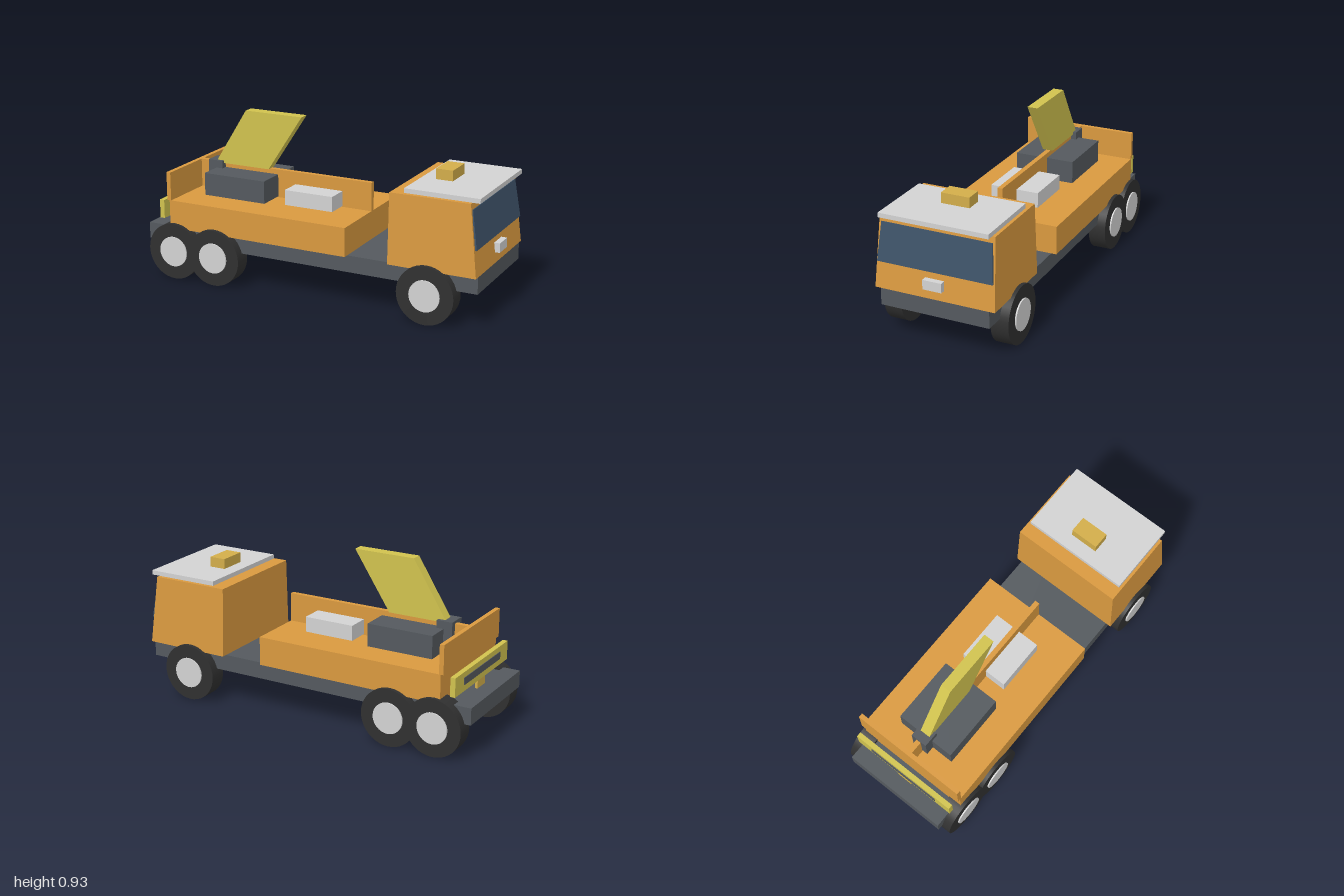
import * as THREE from 'three';

const mat = (name, color) => {
  const m = new THREE.MeshStandardMaterial({ color });
  m.name = name;
  return m;
};

export function createModel() {
  const orange = mat('orange paint', 0xd9993f);
  const grey = mat('dark grey', 0x54595e);
  const rubber = mat('black rubber', 0x303030);
  const silver = mat('light grey', 0xd2d2d2);
  const glass = mat('blue glass', 0x3d5268);
  const yellow = mat('yellow', 0xd0c24e);
  const amber = mat('amber', 0xd2ad4a);

  const group = new THREE.Group();
  group.name = 'flatbedTruck';
  const add = (name, geometry, material) => {
    const mesh = new THREE.Mesh(geometry, material);
    mesh.name = name;
    group.add(mesh);
    return mesh;
  };

  // Box given by its extents along x, y and z
  const box = (name, material, x0, x1, y0, y1, z0, z1) => {
    const g = new THREE.BoxGeometry(x1 - x0, y1 - y0, z1 - z0);
    g.translate((x0 + x1) / 2, (y0 + y1) / 2, (z0 + z1) / 2);
    return add(name, g, material);
  };

  // Box whose corners are moved: bottom and top each have [xBack, xFront, halfWidth]
  const taperedBox = (name, material, y0, y1, bottom, top) => {
    const g = new THREE.BoxGeometry(1, 1, 1);
    const p = g.attributes.position;
    for (let i = 0; i < p.count; i++) {
      const up = p.getY(i) > 0;
      const [xb, xf, w] = up ? top : bottom;
      p.setXYZ(i, p.getX(i) > 0 ? xf : xb, up ? y1 : y0, p.getZ(i) > 0 ? w : -w);
    }
    g.computeVertexNormals();
    return add(name, g, material);
  };

  // Chassis
  box('chassis', grey, -1, 0.98, 0.197, 0.29, -0.305, 0.305);

  // Cab, windscreen and fittings
  taperedBox('cab', orange, 0.29, 0.675, [0.49, 0.98, 0.336], [0.49, 0.935, 0.32]);
  taperedBox('windscreen', glass, 0.435, 0.642, [0.966, 0.975, 0.323], [0.937, 0.943, 0.308]);
  box('frontPlate', silver, 0.96, 1, 0.345, 0.397, -0.053, 0.053);
  box('roofPlate', silver, 0.565, 0.98, 0.678, 0.703, -0.305, 0.305);
  box('roofBeacon', amber, 0.645, 0.74, 0.703, 0.76, -0.08, 0.08);

  // Load bed with central wall and tall rear panel
  box('bed', orange, -0.84, 0.245, 0.29, 0.45, -0.335, 0.335);
  box('centreWall', orange, -0.83, 0.245, 0.45, 0.61, -0.018, 0.01);
  box('rearPanel', orange, -0.855, -0.83, 0.45, 0.61, -0.335, 0.335);

  // Boxes standing on both sides of the wall
  box('darkCrate', grey, -0.71, -0.33, 0.455, 0.582, -0.175, 0.17);
  box('lightCrate', silver, -0.22, 0.07, 0.455, 0.54, -0.145, 0.135);
  box('armMount', grey, -0.76, -0.67, 0.47, 0.625, -0.05, 0.045);

  // Slanted board rising from the wall
  taperedBox('slantedBoard', yellow, 0.61, 0.93, [-0.72, -0.38, 0.03], [-0.52, -0.17, 0.03]);

  // Rear barrier with its post and dark strip
  box('rearBarrier', yellow, -0.915, -0.887, 0.335, 0.44, -0.32, 0.32);
  box('barrierStrip', grey, -0.919, -0.914, 0.37, 0.41, -0.22, 0.22);
  box('barrierPost', amber, -0.913, -0.898, 0.29, 0.335, -0.045, 0.045);

  // Wheels: three on each side
  for (const side of [1, -1]) {
    for (const x of [-0.81, -0.555, 0.71]) {
      const tyre = new THREE.CylinderGeometry(0.16, 0.16, 0.1, 40);
      const hub = new THREE.CylinderGeometry(0.086, 0.086, 0.1, 32);
      tyre.rotateX(Math.PI / 2);
      hub.rotateX(Math.PI / 2);
      add('tyre', tyre, rubber).position.set(x, 0.16, side * 0.305);
      add('hub', hub, silver).position.set(x, 0.16, side * 0.313);
    }
  }

  return group;
}
